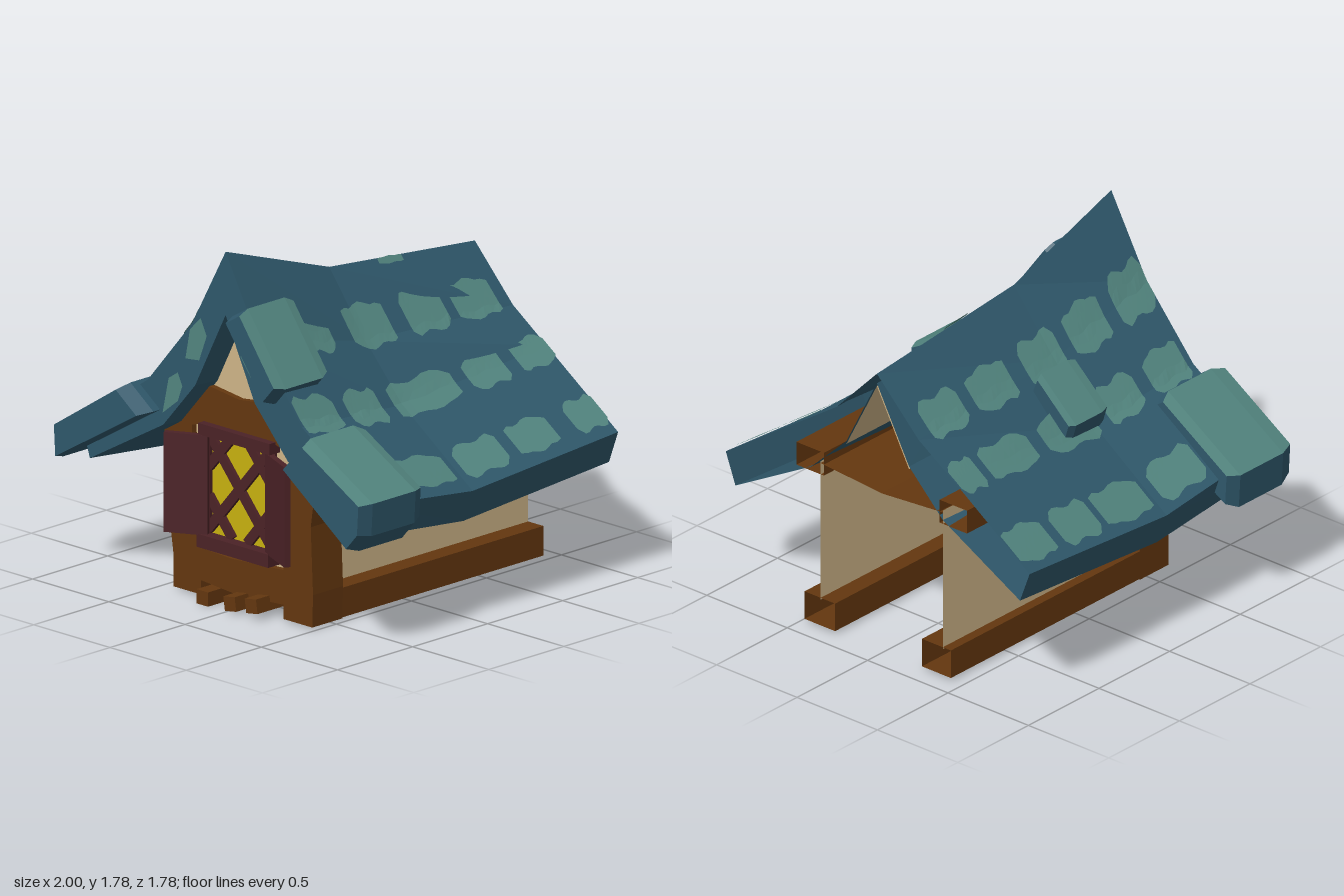
import * as THREE from 'three';

const mat = (name, color, flatShading = true) => Object.assign(
  new THREE.MeshStandardMaterial({ color, flatShading, side: THREE.DoubleSide }), { name });

export function createModel() {
  const model = new THREE.Group();
  model.name = 'gabledDormer';
  const blue = mat('roofBlue', 0x2f586b), teal = mat('tileTeal', 0x52857f);
  const brown = mat('timberBrown', 0x64370f), plaster = mat('plaster', 0xcfb588);
  const maroon = mat('shutterMaroon', 0x4b2226), yellow = mat('glassYellow', 0xc8b20f);

  const add = (name, geometry, material) => {
    const mesh = new THREE.Mesh(geometry, material);
    mesh.name = name;
    model.add(mesh);
    return mesh;
  };
  const box = (name, m, x0, x1, y0, y1, z0, z1) => {
    const mesh = add(name, new THREE.BoxGeometry(x1 - x0, y1 - y0, z1 - z0), m);
    mesh.position.set((x0 + x1) / 2, (y0 + y1) / 2, (z0 + z1) / 2);
    return mesh;
  };
  const shape = pts => new THREE.Shape(pts.map(p => new THREE.Vector2(...p)));
  const plate = (name, m, pts, z) => {
    const mesh = add(name, new THREE.ShapeGeometry(shape(pts)), m);
    mesh.position.z = z;
    return mesh;
  };

  // Joins rows of points; edge 0 is group 0, the remaining edges and caps are group 1
  const loft = (rows, closed = false, caps = false) => {
    const pos = [], n = rows[0].length;
    const tri = (...p) => p.forEach(v => pos.push(...v));
    let first = 0;
    for (let j = 0; j < (closed ? n : n - 1); j++) {
      const k = (j + 1) % n;
      for (let i = 0; i + 1 < rows.length; i++) {
        const [a, b] = [rows[i], rows[i + 1]];
        tri(a[j], b[j], b[k], a[j], b[k], a[k]);
      }
      if (j === 0) first = pos.length / 3;
    }
    if (caps) for (const r of [rows[0], rows[rows.length - 1]])
      for (let j = 1; j + 1 < n; j++) tri(r[0], r[j], r[j + 1]);
    const g = new THREE.BufferGeometry();
    g.setAttribute('position', new THREE.Float32BufferAttribute(pos, 3));
    g.computeVertexNormals();
    g.addGroup(0, first, 0);
    g.addGroup(first, pos.length / 3 - first, 1);
    return g;
  };

  // Sagging roof shell: three stations, each running from left eave over the ridge to right eave
  const stations = [
    { z: 0.76, top: [[-0.92, 0.74], [-0.48, 1.04], [-0.19, 1.38], [0.03, 1.78], [0.24, 1.40], [0.53, 1.03], [0.97, 0.74]], under: [0.57, 0.84, 1.08, 1.47] },
    { z: 0.07, top: [[-0.92, 0.66], [-0.47, 0.98], [-0.22, 1.24], [0.03, 1.55], [0.27, 1.24], [0.51, 0.98], [0.97, 0.66]], under: [0.50, 0.79, 1.04, 1.42] },
    { z: -0.9, top: [[-0.92, 0.73], [-0.46, 1.05], [-0.23, 1.20], [0.03, 1.46], [0.28, 1.20], [0.50, 1.05], [0.97, 0.73]], under: [0.57, 0.83, 1.04, 1.41] },
  ];
  const underX = [-0.86, -0.38, -0.17, 0.03, 0.22, 0.44, 0.91];
  const topRow = s => s.top.map(p => [...p, s.z]);
  const underRow = s => underX.map((x, i) => [x, s.under[Math.min(i, 6 - i)], s.z]);
  add('roof', loft(stations.map(s => [...topRow(s), ...underRow(s).reverse()]), true), [blue, blue]);
  add('roofFrontEdge', loft([topRow(stations[0]), underRow(stations[0])]), [blue, blue]);
  add('atticLining', loft(stations.map(s => underRow(s).slice(2, 5)
    .map(p => [p[0], p[1] - 0.015, Math.min(p[2], 0.6)]))), [plaster, plaster]);

  // Height of the roof surface at x, z
  const roofY = (x, z) => {
    const i = z > 0.07 ? 0 : 1, a = stations[i], b = stations[i + 1];
    const t = (z - a.z) / (b.z - a.z);
    const row = a.top.map((p, j) => [0, 1].map(k => p[k] + (b.top[j][k] - p[k]) * t));
    let j = 0;
    while (j < 5 && x > row[j + 1][0]) j++;
    const [p, q] = [row[j], row[j + 1]];
    return p[1] + (q[1] - p[1]) * (x - p[0]) / (q[0] - p[0]);
  };

  // Light tiles painted on the slopes, in columns: [x0, x1, [z0, z1], ...]
  const columns = [
    [-0.89, -0.72, [-0.9, -0.64], [-0.58, -0.32], [-0.28, 0.04], [0.11, 0.42]],
    [-0.53, -0.38, [-0.9, -0.73], [-0.68, -0.35], [-0.27, 0.08], [0.16, 0.40], [0.48, 0.72]],
    [-0.28, -0.13, [-0.82, -0.56], [-0.49, -0.22], [-0.12, 0.13], [0.20, 0.44], [0.52, 0.755]],
    [0.16, 0.31, [-0.82, -0.55], [-0.49, -0.23], [-0.12, 0.15], [0.28, 0.48]],
    [0.44, 0.59, [-0.9, -0.68], [-0.6, -0.36], [-0.28, 0.13], [0.21, 0.43], [0.5, 0.755]],
    [0.77, 0.93, [-0.9, -0.7], [-0.58, -0.32], [-0.25, 0.04], [0.11, 0.43]],
    [0.035, 0.06, [-0.4, -0.24]],
  ];
  columns.forEach(([x0, x1, ...spans], c) => spans.forEach(([z0, z1], s) => {
    const rows = [];
    for (let i = 0; i <= 8; i++) {
      const trim = (x1 - x0) * (i % 8 === 0 ? 0.16 : 0.03);
      const wob = k => (x1 - x0) * 0.06 * Math.sin(i * 1.3 + c * 2 + s * 3 + k);
      const a = x0 + trim + wob(0), b = x1 - trim + wob(2);
      rows.push([0, 1, 2, 3, 4].map(j => {
        const x = a + (b - a) * j / 4;
        const z = z0 + (z1 - z0) * i / 8;
        return [x, roofY(x, z) + 0.011, z];
      }));
    }
    add('paintedTile', loft(rows), [teal, teal]);
  }));
  // Light patches on the front edge of the roof
  [[[-0.38, 0.9], [-0.28, 0.98], [-0.25, 1.06], [-0.28, 1.12], [-0.34, 1.08]],
   [[-0.23, 1.2], [-0.14, 1.21], [-0.09, 1.34], [-0.13, 1.42], [-0.2, 1.35]],
   [[0.13, 1.29], [0.2, 1.2], [0.27, 1.22], [0.24, 1.33]]]
    .forEach(p => plate('edgePatch', teal, p, 0.764));

  // Chunky loose tiles: a slab profile swept in z, with shrunken ends
  const slab = (name, profile, z0, z1) => {
    const cx = profile.reduce((s, p) => s + p[0], 0) / profile.length;
    const cy = profile.reduce((s, p) => s + p[1], 0) / profile.length;
    const rows = [[0, 0.88], [0.14, 1], [0.82, 1], [1, 0.9]].map(([t, k]) =>
      profile.map(([x, y]) => [cx + (x - cx) * k, cy + (y - cy) * k, z0 + (z1 - z0) * t]));
    add(name, loft(rows, true, true), [teal, blue]);
  };
  slab('eaveTileRight', [[-0.55, 1.02], [-1.0, 0.73], [-0.99, 0.56], [-0.40, 0.91]], 0.44, 0.885);
  slab('eaveTileLeft', [[0.59, 0.99], [1.0, 0.76], [0.99, 0.60], [0.91, 0.51], [0.45, 0.84]], 0.42, 0.84);
  slab('upperTile', [[0.19, 1.54], [0.44, 1.20], [0.36, 1.11], [0.09, 1.48]], 0.48, 0.84);
  slab('smallTile', [[-0.29, 1.26], [-0.51, 1.06], [-0.48, 0.96], [-0.25, 1.16]], -0.14, 0.13);

  // Front timber frame with bowed posts and an opening
  const frame = shape([[-0.43, 0.01], [-0.25, 0.01], [-0.25, 0.08], [0, 0.06], [0.29, 0.08], [0.29, 0.01],
    [0.48, 0.01], [0.485, 0.17], [0.47, 0.5], [0.515, 0.8], [0.5, 0.88], [0.3, 1.03], [0.2, 1.045],
    [0, 1.02], [-0.2, 1.045], [-0.3, 0.99], [-0.47, 0.87], [-0.49, 0.76], [-0.48, 0.5], [-0.43, 0.17]]);
  frame.holes.push(shape([[-0.27, 0.24], [-0.05, 0.23], [0.29, 0.25], [0.34, 0.83], [0.2, 0.86],
    [-0.2, 0.86], [-0.31, 0.83]]));
  add('frontFrame', new THREE.ExtrudeGeometry(frame, { depth: 0.2, bevelEnabled: false }), brown).position.z = 0.44;
  plate('frontPlaster', plaster, [[-0.36, 0.15], [0.36, 0.15], [0.38, 0.88], [0.22, 1.08], [0.03, 1.48],
    [-0.17, 1.08], [-0.36, 0.88]], 0.61);

  // Side walls, hollow sill beams, top plates and ceiling
  const beam = (name, x0, x1, y0, y1) => add(name, loft([0.5, -0.9].map(z =>
    [[x0, y0, z], [x1, y0, z], [x1, y1, z], [x0, y1, z]]), true), [brown, brown]);
  beam('sillBeam', -0.43, -0.25, 0.015, 0.16);
  beam('sillBeam', 0.29, 0.48, 0.015, 0.16);
  beam('topPlate', -0.53, -0.36, 0.81, 0.93);
  beam('topPlate', 0.36, 0.53, 0.81, 0.93);
  for (const x of [-0.38, 0.38])
    add('sideWall', loft([0.46, -0.9].map(z => [[x, 0.15, z], [x, 0.88, z]])), [plaster, plaster]);
  add('ceiling', loft([0.46, -0.9].map(z => [[-0.38, 0.87, z], [0, 0.84, z], [0.38, 0.87, z]])), [brown, brown]);

  // Short joists poking out under the front
  [[-0.19, 0, 0.07], [-0.01, 0.01, 0.08], [0.13, 0.03, 0.1]].forEach(([x, y0, y1], i) => {
    box('joist', brown, x, x + 0.075, y0, y1, 0.2, 0.73).rotation.z = [0, 0.15, 0.15][i];
  });

  // Window: glass, surround and diagonal lattice
  box('windowGlass', yellow, -0.19, 0.21, 0.31, 0.83, 0.62, 0.628);
  box('windowHead', maroon, -0.23, 0.24, 0.81, 0.865, 0.61, 0.68);
  box('windowSill', maroon, -0.23, 0.24, 0.26, 0.325, 0.61, 0.69);
  for (const x of [-0.21, 0.195]) box('windowJamb', maroon, x, x + 0.025, 0.32, 0.82, 0.61, 0.65);
  [[-0.19, 0.355, 0.2, 0.805], [-0.19, 0.805, 0.2, 0.355], [-0.19, 0.66, -0.06, 0.81],
   [0.07, 0.81, 0.2, 0.66], [-0.19, 0.5, -0.05, 0.335], [0.06, 0.335, 0.2, 0.5]].forEach(([x0, y0, x1, y1]) => {
    const bar = add('latticeBar', new THREE.BoxGeometry(Math.hypot(x1 - x0, y1 - y0) + 0.02, 0.05, 0.02), maroon);
    bar.position.set((x0 + x1) / 2, (y0 + y1) / 2, 0.637);
    bar.rotation.z = Math.atan2(y1 - y0, x1 - x0);
  });

  // Shutters swung part way open
  [[-0.185, -0.375], [0.205, 0.43]].forEach(([xIn, xOut]) => {
    const w = Math.hypot(xOut - xIn, 0.1);
    const shutter = add('shutter', new THREE.BoxGeometry(w, 0.49, 0.03), maroon);
    shutter.position.set((xIn + xOut) / 2, 0.565, 0.705);
    shutter.rotation.y = -Math.sign(xOut) * Math.atan2(0.1, Math.abs(xOut - xIn));
  });
  return model;
}
